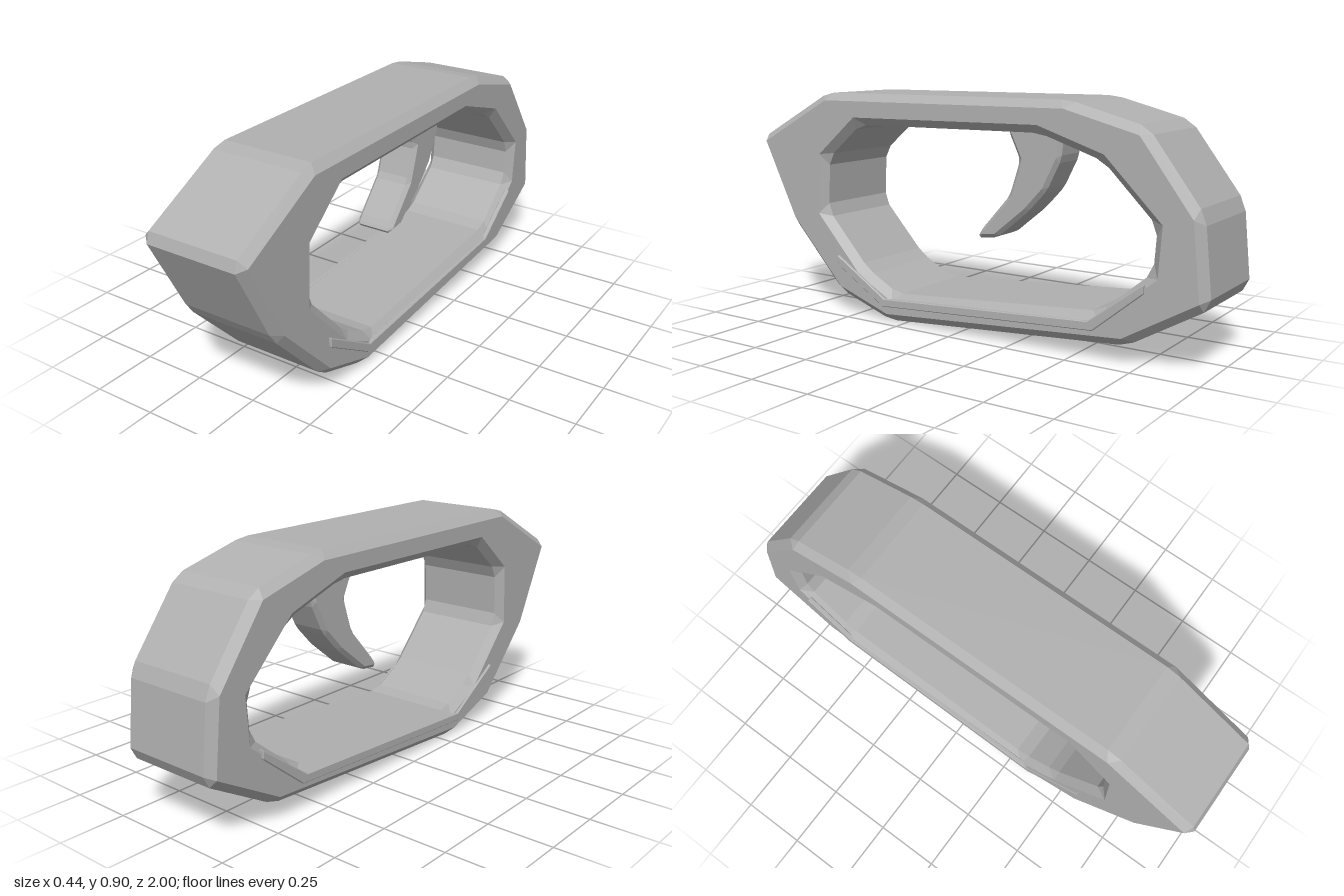
import * as THREE from 'three';

// Profiles are [z, y] corners; they are drawn in the plane u = -z, v = y and extruded along x.
function toLoop(points, clockwise) {
  const loop = points.map(([z, y]) => new THREE.Vector2(-z, y));
  if ((THREE.ShapeUtils.area(loop) < 0) !== clockwise) loop.reverse();
  return loop;
}

// For each corner: one inset point for the side face, two points for the chamfered rim
function chamfer(loop, c) {
  const face = [], rim = [];
  loop.forEach((p, i) => {
    const prev = loop[(i + loop.length - 1) % loop.length];
    const next = loop[(i + 1) % loop.length];
    const d1 = p.clone().sub(prev), d2 = next.clone().sub(p);
    const s1 = Math.min(c, d1.length() * 0.35), s2 = Math.min(c, d2.length() * 0.35);
    d1.normalize();
    d2.normalize();
    const n1 = new THREE.Vector2(-d1.y, d1.x), n2 = new THREE.Vector2(-d2.y, d2.x);
    const corner = p.clone().addScaledVector(n1.clone().add(n2), c / (1 + n1.dot(n2)));
    face.push(corner, corner);
    rim.push(p.clone().addScaledVector(d1, -s1), p.clone().addScaledVector(d2, s2));
  });
  return { face, rim };
}

// Flat-shaded slab with chamfered edges and an optional chamfered opening
function slab(outline, half, c, opening) {
  const pos = [];
  const tri = (...pts) => pts.forEach((p) => pos.push(p.x, p.y, p.z));
  const at = (p, w) => new THREE.Vector3(p.x, p.y, w);
  const parts = [chamfer(toLoop(outline, false), c)];
  if (opening) parts.push(chamfer(toLoop(opening, true), c));

  // Walls: chamfer, straight wall, chamfer
  for (const { face, rim } of parts) {
    const stations = [[face, -half], [rim, c - half], [rim, half - c], [face, half]];
    for (let s = 0; s < 3; s++) {
      const [A, wa] = stations[s], [B, wb] = stations[s + 1];
      for (let i = 0; i < A.length; i++) {
        const j = (i + 1) % A.length;
        const a = at(A[i], wa), b = at(A[j], wa), e = at(B[j], wb), d = at(B[i], wb);
        if (A[i] !== A[j]) tri(a, b, e);
        if (B[i] !== B[j]) tri(a, e, d);
      }
    }
  }

  // Side faces
  const [outer, ...holes] = parts.map((p) => p.face.filter((_, i) => i % 2 === 0));
  const all = [outer, ...holes].flat();
  for (const [i, j, k] of THREE.ShapeUtils.triangulateShape(outer, holes)) {
    tri(at(all[i], half), at(all[j], half), at(all[k], half));
    tri(at(all[i], -half), at(all[k], -half), at(all[j], -half));
  }

  const geo = new THREE.BufferGeometry();
  geo.setAttribute('position', new THREE.Float32BufferAttribute(pos, 3));
  geo.rotateY(Math.PI / 2);
  geo.computeVertexNormals();
  return geo;
}

export function createModel() {
  const group = new THREE.Group();
  const grey = new THREE.MeshStandardMaterial({ color: 0xb0b0b0 });
  grey.name = 'grey metal';
  const add = (name, geo, x = 0) => {
    const mesh = new THREE.Mesh(geo, grey);
    mesh.name = name;
    mesh.position.x = x;
    group.add(mesh);
  };

  // Closed guard loop
  const outline = [
    [1.012, 0.7], [0.64, 0.898], [-0.464, 0.903], [-0.765, 0.823], [-0.973, 0.545],
    [-1.003, 0.245], [-0.705, 0.073], [0.335, 0.001], [0.587, 0.088], [0.842, 0.36],
  ];
  const opening = [
    [0.475, 0.775], [-0.351, 0.783], [-0.603, 0.7], [-0.807, 0.496], [-0.796, 0.34],
    [-0.603, 0.18], [0.298, 0.115], [0.448, 0.196], [0.651, 0.416], [0.641, 0.635],
  ];
  add('guardFrame', slab(outline, 0.21, 0.03, opening));

  // Curved trigger hanging from the top bar
  const trigger = [
    [-0.145, 0.83], [-0.152, 0.77], [-0.2, 0.67], [-0.185, 0.62], [-0.155, 0.53],
    [-0.03, 0.39], [-0.01, 0.355], [-0.1, 0.365], [-0.235, 0.475], [-0.315, 0.56],
    [-0.375, 0.68], [-0.392, 0.83],
  ];
  add('trigger', slab(trigger, 0.08, 0.015));

  // Raised trim strip along the lower edge of each side
  const strip = [
    [0.576, 0.244], [0.335, 0.094], [-0.571, 0.147], [-0.778, 0.303],
    [-0.778, 0.27], [-0.59, 0.115], [0.345, 0.062], [0.576, 0.205],
  ];
  const stripGeo = slab(strip, 0.01, 0.003);
  add('leftTrimStrip', stripGeo, 0.21);
  add('rightTrimStrip', stripGeo, -0.21);

  return group;
}
